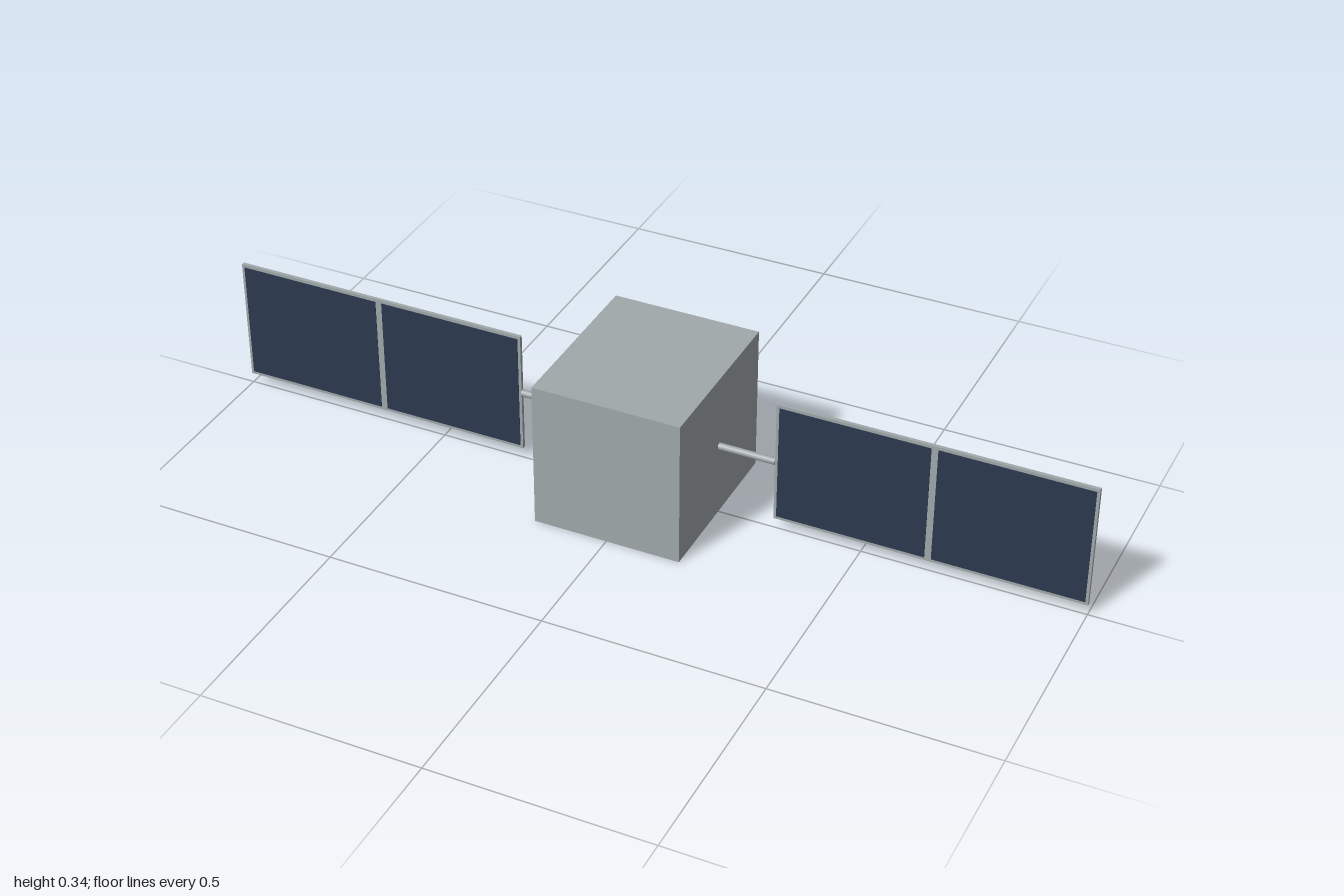
import * as THREE from 'three';

export function createModel() {
  const group = new THREE.Group();
  const metal = new THREE.MeshStandardMaterial({ name: 'grey metal', color: 0xa0a8aa });
  const cellBlue = new THREE.MeshStandardMaterial({ name: 'dark blue cell', color: 0x2c3a4e });
  const midY = 0.1715;

  function add(parent, name, geometry, material, x, y, z) {
    const mesh = new THREE.Mesh(geometry, material);
    mesh.name = name;
    mesh.position.set(x, y, z);
    parent.add(mesh);
    return mesh;
  }

  // Main box
  add(group, 'body', new THREE.BoxGeometry(0.34, 0.343, 0.4), metal, 0, midY, 0);

  for (const side of [1, -1]) {
    const wing = new THREE.Group();
    wing.name = side > 0 ? 'leftWing' : 'rightWing';
    group.add(wing);

    // Round strut from the body to the panel
    const strut = add(wing, 'strut', new THREE.CylinderGeometry(0.008, 0.008, 0.14, 16), metal, side * 0.23, midY, 0);
    strut.rotation.z = Math.PI / 2;

    // Backing panel
    add(wing, 'panel', new THREE.BoxGeometry(0.7, 0.291, 0.008), metal, side * 0.65, midY, -0.0005);

    // Two solar cells on the front face
    for (const offset of [-1, 1]) {
      add(wing, 'solarCell', new THREE.BoxGeometry(0.336, 0.277, 0.002), cellBlue,
        side * 0.65 + offset * 0.1755, midY, 0.0035);
    }
  }
  return group;
}
